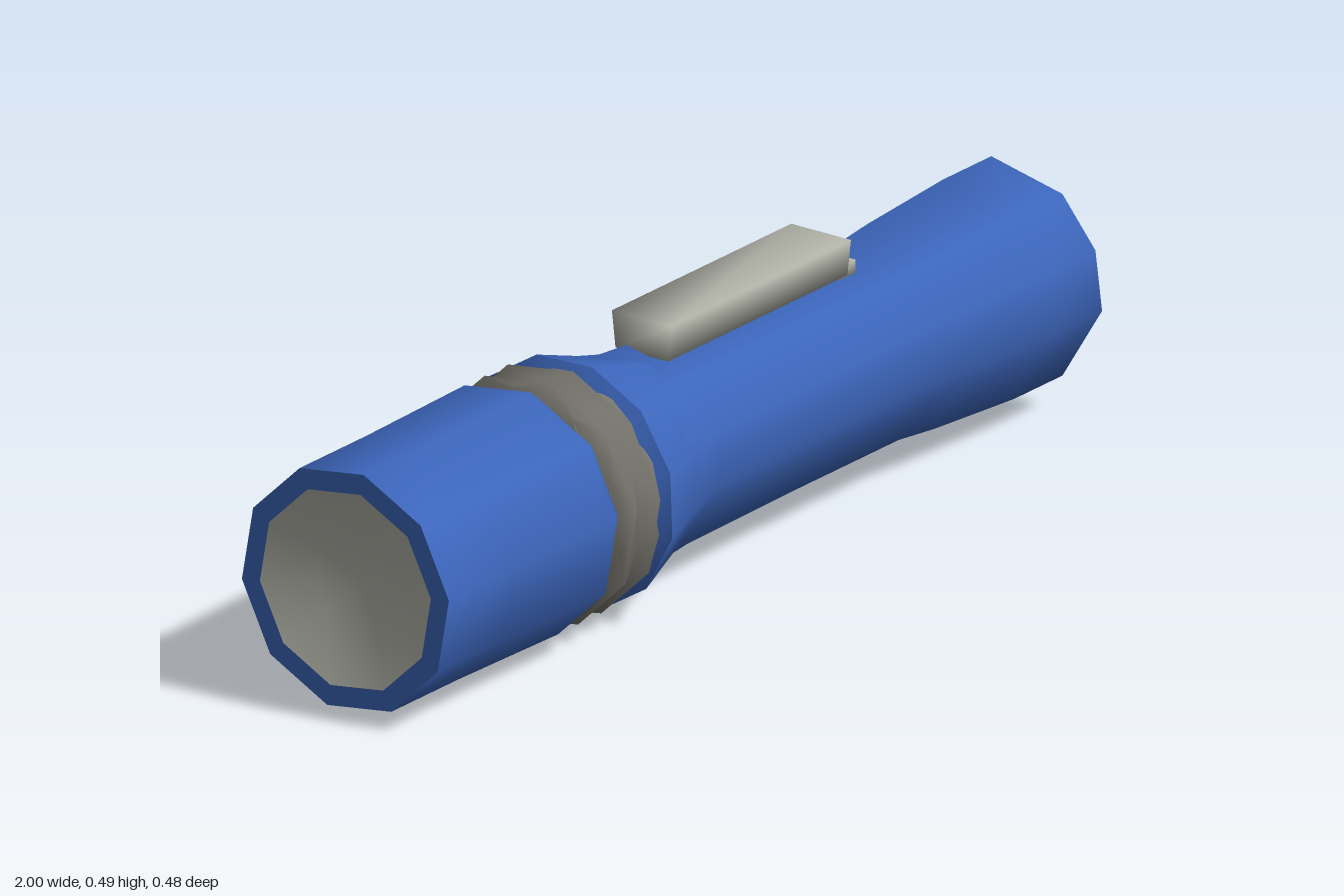
import * as THREE from 'three';
import { mergeVertices, toCreasedNormals } from 'three/addons/utils/BufferGeometryUtils.js';

const AXIS_Y = 0.24; // height of the long axis

// Evenly spaced corner angles, in degrees, running once round the axis
const evenCorners = (n, start) => Array.from({ length: n + 1 }, (_, i) => start - (i * 360) / n);

// Uneven octagon of the barrel and tail
const BARREL_CORNERS = [325, 293, 262, 215, 169, 109, 68, 10, -35];
const HEAD_CORNERS = evenCorners(10, 350);
const NECK_CORNERS = evenCorners(12, 347);

// Turns a profile of [x, radius] points about the x axis; twist skews alternate rings
function turned(name, material, profile, corners, twist = 0) {
  const points = profile.map(([x, r]) => new THREE.Vector2(r, x));
  const geometry = new THREE.LatheGeometry(points, corners.length - 1);
  const pos = geometry.attributes.position;
  for (let i = 0; i < pos.count; i++) {
    const ring = i % profile.length;
    const [x, r] = profile[ring];
    const skew = ring % 2 ? twist : 0;
    const a = THREE.MathUtils.degToRad(corners[Math.floor(i / profile.length)] + skew);
    pos.setXYZ(i, x, AXIS_Y + r * Math.cos(a), -r * Math.sin(a));
  }
  const mesh = new THREE.Mesh(toCreasedNormals(geometry, 1.15), material);
  mesh.name = name;
  return mesh;
}

// Box with softly shaded corners, its underside narrowed in z by the taper
function softBox(name, material, size, position, taper) {
  const box = new THREE.BoxGeometry(...size);
  box.deleteAttribute('normal');
  box.deleteAttribute('uv');
  const geometry = mergeVertices(box);
  const pos = geometry.attributes.position;
  for (let i = 0; i < pos.count; i++) {
    if (pos.getY(i) < 0) pos.setZ(i, pos.getZ(i) * taper);
  }
  geometry.computeVertexNormals();
  const mesh = new THREE.Mesh(geometry, material);
  mesh.name = name;
  mesh.position.set(...position);
  return mesh;
}

function paint(name, color) {
  const material = new THREE.MeshStandardMaterial({ color });
  material.name = name;
  return material;
}

export function createModel() {
  const blue = paint('blue casing', 0x3c65ba);
  const darkGrey = paint('dark grey', 0x77766e);
  const lightGrey = paint('light grey', 0xb0b2a7);

  const model = new THREE.Group();
  model.name = 'flashlight';

  // Wide head with an open rim
  model.add(turned('head', blue, [
    [-1, 0.195], [-1, 0.236], [-0.8, 0.236], [-0.5, 0.241], [-0.465, 0.215],
  ], HEAD_CORNERS));

  // Shallow dished lens inside the rim
  model.add(turned('lens', lightGrey, [
    [-0.95, 0], [-0.96, 0.1], [-1, 0.195],
  ], HEAD_CORNERS));

  // Twisted, ridged collar between head and neck
  model.add(turned('collar', darkGrey, [
    [-0.48, 0.2], [-0.465, 0.222], [-0.44, 0.241], [-0.405, 0.22],
    [-0.37, 0.241], [-0.345, 0.222], [-0.325, 0.2],
  ], HEAD_CORNERS, 16));

  // Flared neck sinking into the barrel
  model.add(turned('neck', blue, [
    [-0.355, 0.21], [-0.33, 0.242], [-0.22, 0.206], [-0.15, 0.188], [-0.1, 0.165],
  ], NECK_CORNERS));

  // Narrow grip and slightly wider open tail
  model.add(turned('barrel', blue, [
    [-0.26, 0.205], [-0.12, 0.194], [0.2, 0.191], [0.52, 0.191], [0.62, 0.201],
    [0.85, 0.215], [0.995, 0.215], [0.995, 0.14],
  ], BARREL_CORNERS));

  // Recessed tail cap
  model.add(turned('tailCap', darkGrey, [
    [0.995, 0.14], [0.93, 0.12], [0.92, 0],
  ], BARREL_CORNERS));

  // Slide switch, tapering towards the barrel, and the small stop at its tail end
  model.add(softBox('switch', lightGrey, [0.54, 0.07, 0.135], [0.16, 0.455, 0.002], 0.88));
  model.add(softBox('switchStop', lightGrey, [0.05, 0.03, 0.05], [0.445, 0.42, 0.025], 1));

  return model;
}
